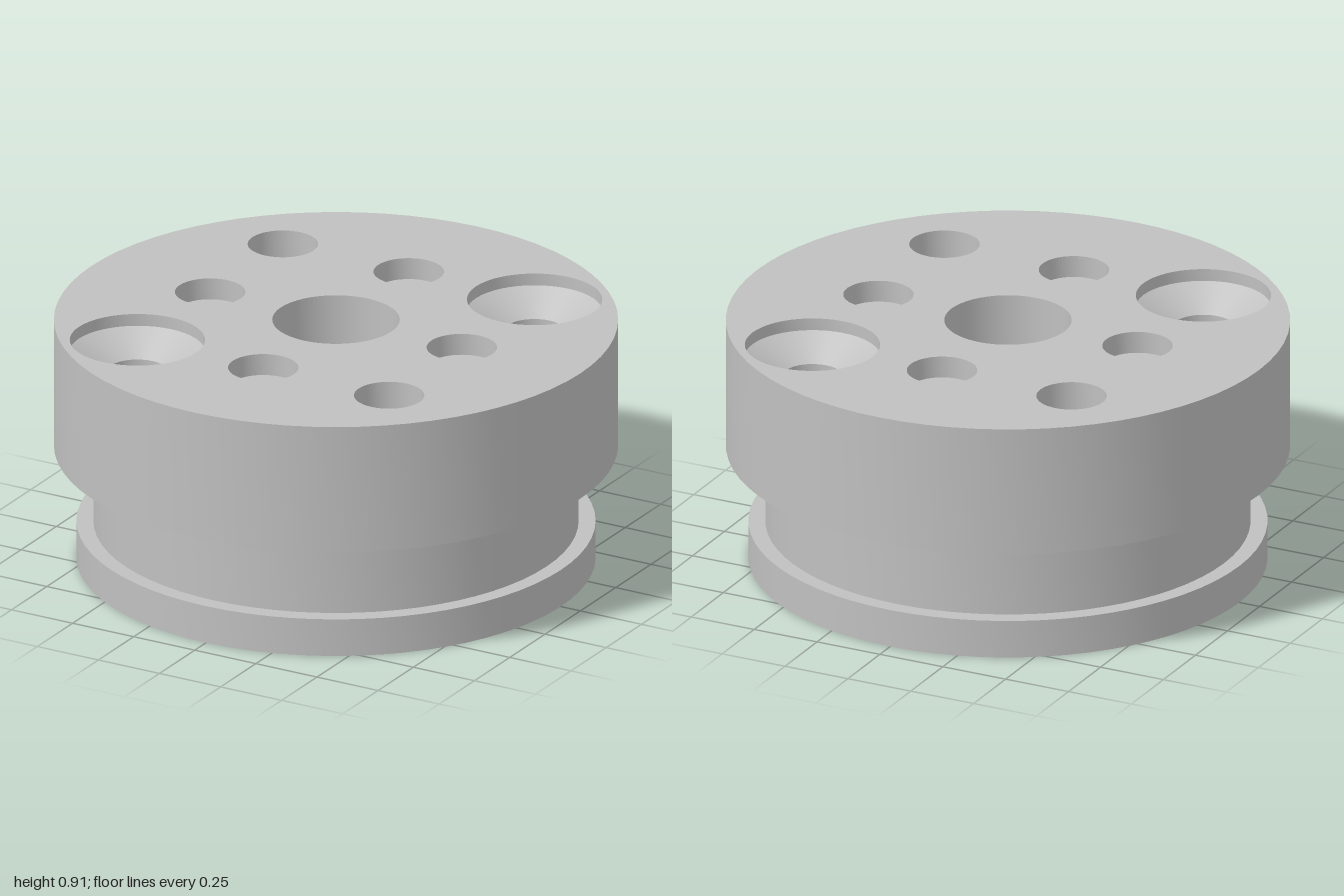
import * as THREE from 'three';
import { toCreasedNormals } from 'three/addons/utils/BufferGeometryUtils.js';

const SEG = 72, HOLE_SEG = 48;
const TOP = 0.91, CEILING = 0.15, BORE = 0.226, RECESS = 0.775;
const PITCH = 0.515;

export function createModel() {
  const group = new THREE.Group();
  const grey = new THREE.MeshStandardMaterial({ color: 0xc0c0c0 });
  grey.name = 'plain grey';

  const add = (name, geometry, x = 0, y = 0, z = 0) => {
    const mesh = new THREE.Mesh(geometry, grey);
    mesh.name = name;
    mesh.position.set(x, y, z);
    group.add(mesh);
    return mesh;
  };

  // Revolved surface with sharp corners; solid lies left of the profile
  const turned = (profile, segments) => toCreasedNormals(
    new THREE.LatheGeometry(profile.map(([r, y]) => new THREE.Vector2(r, y)), segments), 0.45);

  // Regular polygon outline matching the vertices of a turned surface
  const ring = (r, n, x = 0, z = 0, turn = 0) => Array.from({ length: n }, (_, i) => {
    const a = turn + (i / n) * Math.PI * 2;
    return new THREE.Vector2(x + r * Math.sin(a), z + r * Math.cos(a));
  });

  // Flat disc in x/z with holes, facing up or down
  const plate = (outer, holes, up) => {
    const flip = (pts) => pts.map((p) => new THREE.Vector2(p.x, up ? -p.y : p.y));
    const shape = new THREE.Shape(flip(outer));
    holes.forEach((h) => shape.holes.push(new THREE.Path(flip(h))));
    return new THREE.ShapeGeometry(shape).rotateX(up ? -Math.PI / 2 : Math.PI / 2);
  };

  // Recess wall, foot flange, neck and wide head
  add('body', turned([
    [RECESS, CEILING], [RECESS, 0], [0.92, 0], [0.92, 0.14],
    [0.86, 0.14], [0.86, 0.43], [1, 0.43], [1, TOP],
  ], SEG));
  add('centreBore', turned([[BORE, TOP], [BORE, CEILING]], HOLE_SEG));

  // Eight holes around the bore: shallow, deep and countersunk
  const topHoles = [ring(BORE, HOLE_SEG)];
  for (const i of [-1, 0, 1]) for (const k of [-1, 0, 1]) {
    if (!i && !k) continue;
    const x = i * PITCH, z = k * PITCH;
    let name, profile;
    if (i * k < 0) {
      name = 'countersunkHole';
      profile = [[0.24, 0], [0.24, -0.045], [0.108, -0.12], [0.108, -0.4], [0, -0.4]];
    } else if (i * k > 0) {
      name = 'deepHole';
      profile = [[0.125, 0], [0.125, -0.4], [0, -0.4]];
    } else {
      name = 'shallowHole';
      profile = [[0.125, 0], [0.125, -0.08], [0, -0.08]];
    }
    add(name, turned(profile, HOLE_SEG), x, TOP, z);
    topHoles.push(ring(profile[0][0], HOLE_SEG, x, z));
  }
  add('topFace', plate(ring(1, SEG), topHoles, true), 0, TOP, 0);

  // Four hexagonal pockets in the recess ceiling, flats facing the centre
  const ceilingHoles = [ring(BORE, HOLE_SEG)];
  for (let q = 0; q < 4; q++) {
    const a = Math.PI / 4 + q * Math.PI / 2, turn = a + Math.PI / 6;
    const x = 0.55 * Math.sin(a), z = 0.55 * Math.cos(a);
    add('hexPocket', turned([[0, 0.23], [0.24, 0.23], [0.24, 0]], 6), x, CEILING, z).rotation.y = turn;
    ceilingHoles.push(ring(0.24, 6, x, z, turn));
  }
  add('recessCeiling', plate(ring(RECESS, SEG), ceilingHoles, false), 0, CEILING, 0);

  return group;
}
